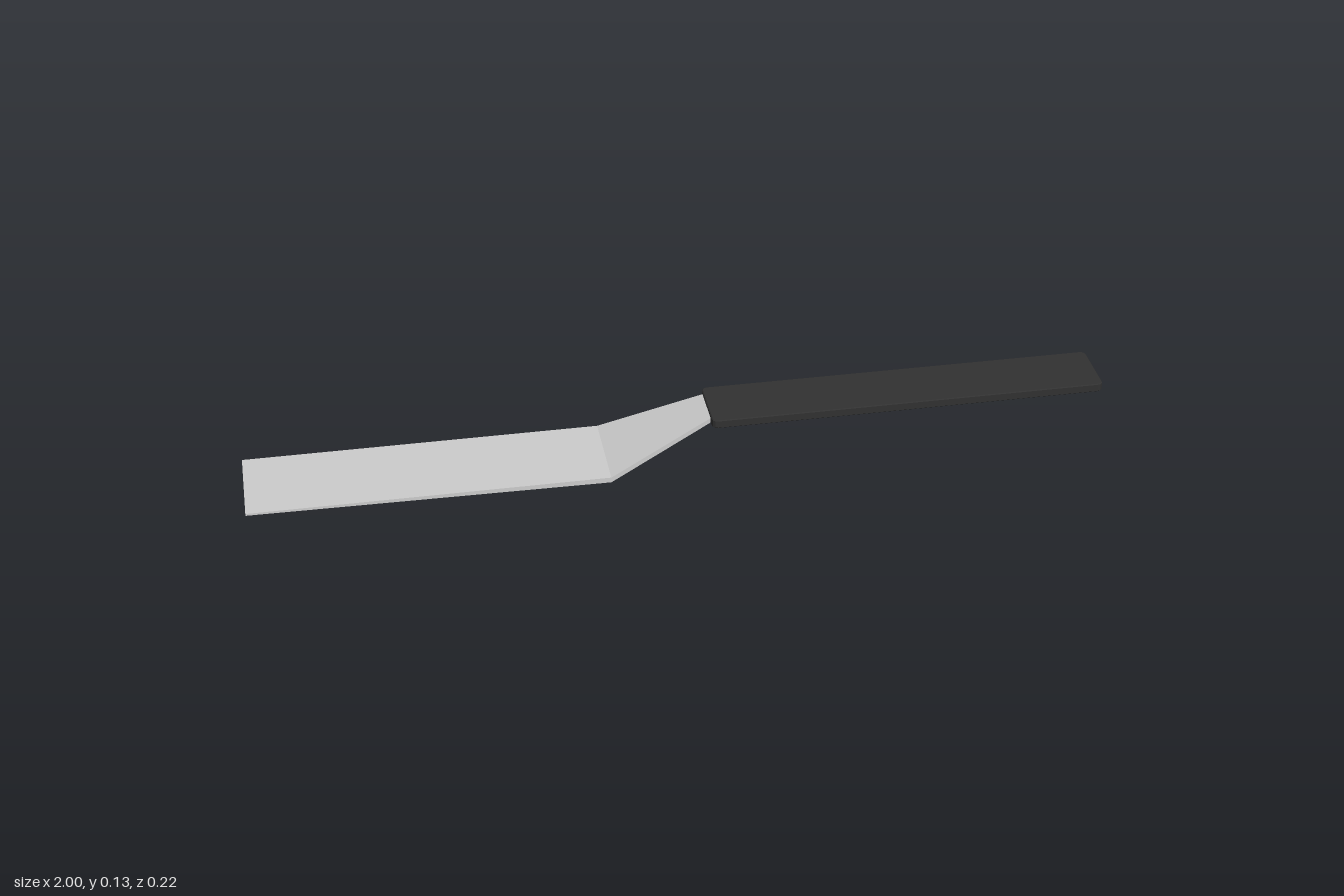
import * as THREE from 'three';

// Joins cross-sections, listed along +x, into a closed flat-shaded solid.
// Each section is { x, pts: [[z, y], ...] }, clockwise as seen from +x.
function loft(sections) {
  const rings = sections.map(s => s.pts.map(([z, y]) => [s.x, y, z]));
  const n = rings[0].length, pos = [];
  const tri = (a, b, c) => pos.push(...a, ...b, ...c);
  for (let s = 0; s < rings.length - 1; s++) {
    const a = rings[s], b = rings[s + 1];
    for (let i = 0; i < n; i++) {
      const j = (i + 1) % n;
      tri(a[i], b[i], a[j]);
      tri(a[j], b[i], b[j]);
    }
  }
  const first = rings[0], last = rings[rings.length - 1];
  for (let i = 1; i < n - 1; i++) {
    tri(first[0], first[i], first[i + 1]);
    tri(last[0], last[i + 1], last[i]);
  }
  const geo = new THREE.BufferGeometry();
  geo.setAttribute('position', new THREE.Float32BufferAttribute(pos, 3));
  geo.computeVertexNormals();
  return geo;
}

// Rounded slab lying flat, centred on x and z, base at y = 0
function slab(length, width, height, radius, bevel) {
  const x = length / 2 - bevel, y = width / 2 - bevel, r = radius;
  const s = new THREE.Shape();
  s.moveTo(-x + r, -y);
  s.lineTo(x - r, -y);
  s.quadraticCurveTo(x, -y, x, -y + r);
  s.lineTo(x, y - r);
  s.quadraticCurveTo(x, y, x - r, y);
  s.lineTo(-x + r, y);
  s.quadraticCurveTo(-x, y, -x, y - r);
  s.lineTo(-x, -y + r);
  s.quadraticCurveTo(-x, -y, -x + r, -y);
  const geo = new THREE.ExtrudeGeometry(s, {
    depth: height - 2 * bevel, bevelEnabled: true, bevelSize: bevel,
    bevelThickness: bevel, bevelSegments: 1, curveSegments: 3,
  });
  return geo.rotateX(-Math.PI / 2).translate(0, bevel, 0);
}

export function createModel() {
  const group = new THREE.Group();
  const metal = new THREE.MeshStandardMaterial({ color: 0xcccccc, flatShading: true });
  const grip = new THREE.MeshStandardMaterial({ color: 0x313131, flatShading: true });

  // Blade sections: flat top, shallow belly underneath
  const tip = { x: -1, pts: [[0.11, 0.015], [-0.11, 0.015], [-0.11, 0.01], [-0.04, 0.001], [0.04, 0.001], [0.11, 0.01]] };
  const bend = { x: -0.17, pts: [[0.11, 0.015], [-0.11, 0.015], [-0.11, 0.01], [-0.04, 0], [0.04, 0], [0.11, 0.002]] };
  const tang = { x: 0.08, pts: [[0.057, 0.122], [-0.042, 0.122], [-0.042, 0.114], [-0.039, 0.109], [0.03, 0.109], [0.057, 0.11]] };

  const blade = new THREE.Mesh(loft([tip, bend, tang]), metal);
  blade.name = 'bladeAndNeck';
  group.add(blade);

  // Handle, set slightly toward the front
  const handle = new THREE.Mesh(slab(0.93, 0.147, 0.021, 0.012, 0.002), grip);
  handle.position.set(0.535, 0.105, 0.0125);
  handle.name = 'handle';
  group.add(handle);

  return group;
}
